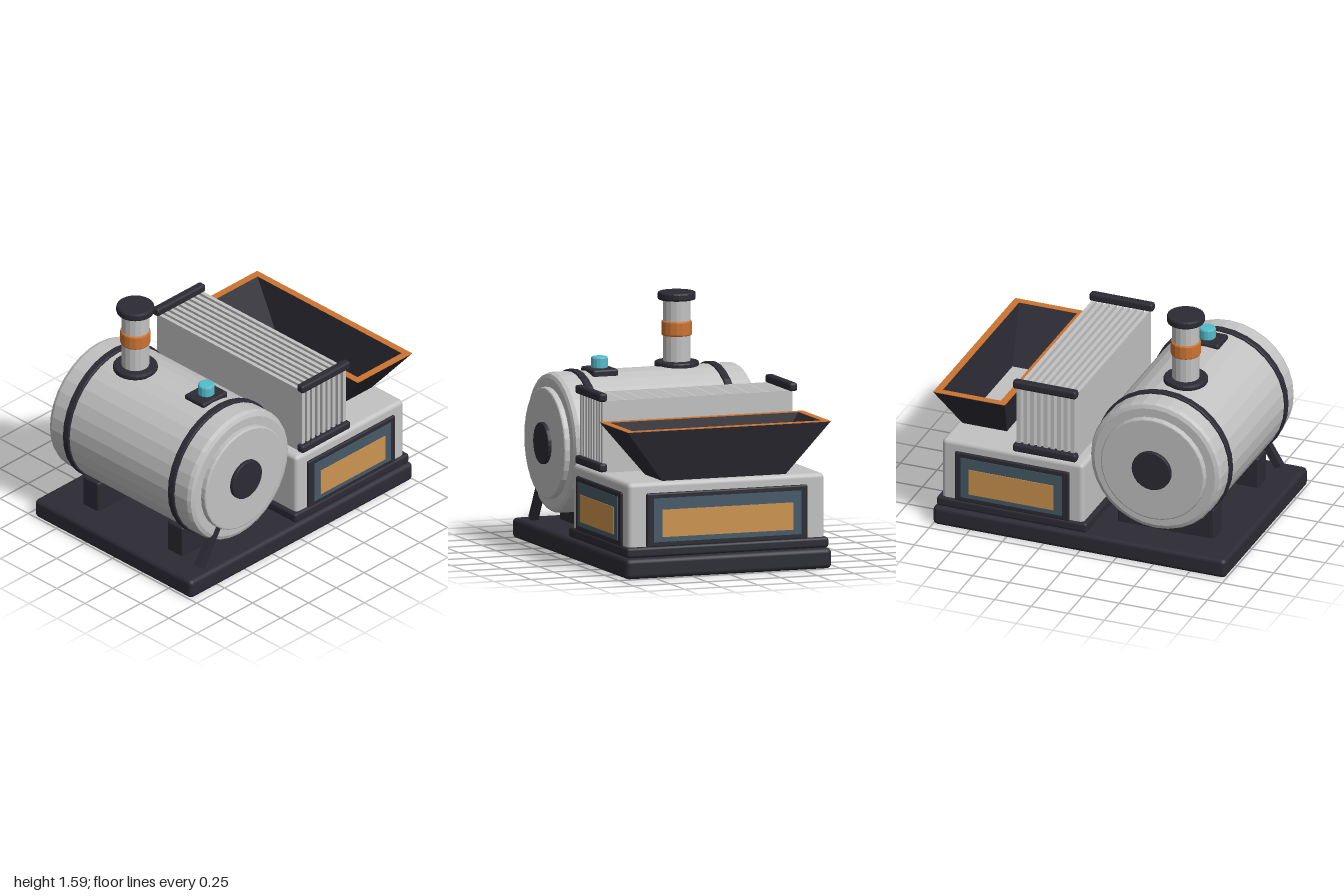
import * as THREE from 'three';
import { toCreasedNormals } from 'three/addons/utils/BufferGeometryUtils.js';
import { RoundedBoxGeometry } from 'three/addons/geometries/RoundedBoxGeometry.js';

export function createModel() {
  const model = new THREE.Group();
  model.name = 'steamMachine';

  const mat = (name, color, extra = {}) => {
    const m = new THREE.MeshStandardMaterial({ color, ...extra });
    m.name = name;
    return m;
  };
  const steel = mat('lightSteel', 0xc2c2c2);
  const dark = mat('darkIron', 0x2c2b34);
  const copper = mat('copper', 0xcc7430);
  const amber = mat('amberGlass', 0xcc9450);
  const slate = mat('slateFrame', 0x465a68);
  const teal = mat('tealKnob', 0x55bccb);

  const add = (name, geo, material, x = 0, y = 0, z = 0, parent = model) => {
    const mesh = new THREE.Mesh(geo, material);
    mesh.name = name;
    mesh.position.set(x, y, z);
    parent.add(mesh);
    return mesh;
  };
  const rbox = (w, h, d, r) => new RoundedBoxGeometry(w, h, d, 2, r);

  // Faceted cylinder along y with bevelled rims
  const drum = (r, h, bevel, sides) => {
    const k = bevel * 0.3, t = h / 2;
    const pts = [[0, -t], [r - bevel, -t], [r - k, -t + k], [r, -t + bevel],
      [r, t - bevel], [r - k, t - k], [r - bevel, t], [0, t]];
    const geo = new THREE.LatheGeometry(pts.map(p => new THREE.Vector2(...p)), sides);
    return toCreasedNormals(geo, 0.1);
  };

  // Base slab
  add('base', rbox(2, 0.13, 1.4, 0.03), dark, 0, 0.068, 0);

  // Boiler lying along z
  const boiler = new THREE.Group();
  boiler.name = 'boiler';
  boiler.position.set(-0.493, 0.675, 0);
  boiler.rotation.x = Math.PI / 2;
  model.add(boiler);
  add('boilerShell', drum(0.447, 1.275, 0.035, 32), steel, 0, 0, 0, boiler);
  for (const s of [-1, 1]) {
    add('boilerBand', drum(0.46, 0.052, 0.008, 32), dark, 0, s * 0.467, 0, boiler);
    add('boilerEndPlate', drum(0.355, 0.06, 0.01, 32), steel, 0, s * 0.646, 0, boiler);
    add('boilerHub', drum(0.133, 0.05, 0.006, 24), dark, 0, s * 0.676, 0, boiler);
    add('boilerSaddle', rbox(0.66, 0.22, 0.14, 0.015), dark, -0.49, 0.232, s * 0.375);
  }

  // Slanted strut under the front of the boiler
  const strut = add('strut', new THREE.BoxGeometry(0.05, 0.28, 0.05), dark, -0.765, 0.262, 0.615);
  strut.rotation.z = -0.55;

  // Chimney
  const cx = -0.547, cz = -0.245;
  add('chimneyFlange', drum(0.142, 0.04, 0.012, 24), dark, cx, 1.127, cz);
  add('chimneyPipe', drum(0.088, 0.48, 0.004, 16), steel, cx, 1.31, cz);
  add('chimneyCollar', drum(0.097, 0.097, 0.01, 16), copper, cx, 1.357, cz);
  add('chimneyCap', drum(0.121, 0.052, 0.012, 24), dark, cx, 1.563, cz);

  // Safety valve
  add('valveBase', rbox(0.22, 0.06, 0.175, 0.015), dark, -0.47, 1.112, 0.308);
  add('valveKnob', drum(0.054, 0.08, 0.012, 14), teal, -0.47, 1.174, 0.31);

  // Steam pipe from the boiler to the housing
  const from = new THREE.Vector3(-0.12, 0.79, -0.34), to = new THREE.Vector3(0.02, 0.54, -0.34);
  const pipe = add('steamPipe', drum(0.042, from.distanceTo(to), 0.003, 14), steel);
  pipe.position.copy(from).lerp(to, 0.5);
  pipe.quaternion.setFromUnitVectors(new THREE.Vector3(0, 1, 0), to.clone().sub(from).normalize());

  // Housing and its plinth
  add('housing', rbox(0.968, 0.47, 1.335, 0.03), steel, 0.465, 0.375, 0);
  add('housingPlinth', rbox(1.025, 0.066, 1.372, 0.018), dark, 0.465, 0.169, 0);

  // Framed window built facing +z, then turned into place
  const windowPanel = (w, x, z, turn) => {
    const g = new THREE.Group();
    g.name = 'window';
    g.position.set(x, 0.37, z);
    g.rotation.y = turn;
    model.add(g);
    add('windowFrame', rbox(w, 0.345, 0.04, 0.01), dark, 0, 0, 0, g);
    add('windowSurround', new THREE.BoxGeometry(w - 0.09, 0.28, 0.006), slate, 0, 0, 0.021, g);
    add('windowGlass', new THREE.BoxGeometry(w - 0.2, 0.175, 0.006), amber, 0, -0.021, 0.025, g);
  };
  windowPanel(0.78, 0.465, 0.664, 0);
  windowPanel(0.78, 0.465, -0.664, Math.PI);
  windowPanel(1.09, 0.949, 0, Math.PI / 2);

  // Radiator: upright fins held by bars at both ends
  for (let i = 0; i < 9; i++) {
    add('radiatorFin', new THREE.BoxGeometry(0.026, 0.465, 1.29), steel, 0.065 + i * 0.046, 0.837, 0);
  }
  for (const s of [-1, 1]) {
    for (const y of [0.643, 1.092]) {
      add('radiatorBar', rbox(0.434, 0.055, 0.056, 0.016), dark, 0.248, y, s * 0.645);
    }
  }

  // Hopper: four-sided funnel, open above and below
  const funnel = (top, bottom, flip) => {
    const ring = ([x0, x1, z], y) => [[x0, y, z], [x1, y, z], [x1, y, -z], [x0, y, -z]];
    const a = ring(bottom, 0.605), b = ring(top, 0.945), pos = [];
    for (let i = 0; i < 4; i++) {
      const j = (i + 1) % 4;
      const quad = [a[i], a[j], b[j], a[i], b[j], b[i]];
      if (flip) quad.reverse();
      pos.push(...quad.flat());
    }
    const geo = new THREE.BufferGeometry();
    geo.setAttribute('position', new THREE.Float32BufferAttribute(pos, 3));
    geo.computeVertexNormals();
    return geo;
  };
  add('hopperOutside', funnel([0.508, 0.997, 0.69], [0.605, 0.905, 0.415], false), dark);
  add('hopperInside', funnel([0.554, 0.951, 0.642], [0.608, 0.902, 0.41], true), dark);

  // Flat copper rim
  const rect = (Type, x0, x1, z) => new Type([[x0, -z], [x1, -z], [x1, z], [x0, z]]
    .map(p => new THREE.Vector2(...p)));
  const rim = rect(THREE.Shape, 0.508, 0.997, 0.69);
  rim.holes.push(rect(THREE.Path, 0.554, 0.951, 0.642));
  const rimGeo = new THREE.ExtrudeGeometry(rim, { depth: 0.004, bevelEnabled: false });
  rimGeo.rotateX(-Math.PI / 2);
  add('hopperRim', rimGeo, copper, 0, 0.943, 0);

  return model;
}
